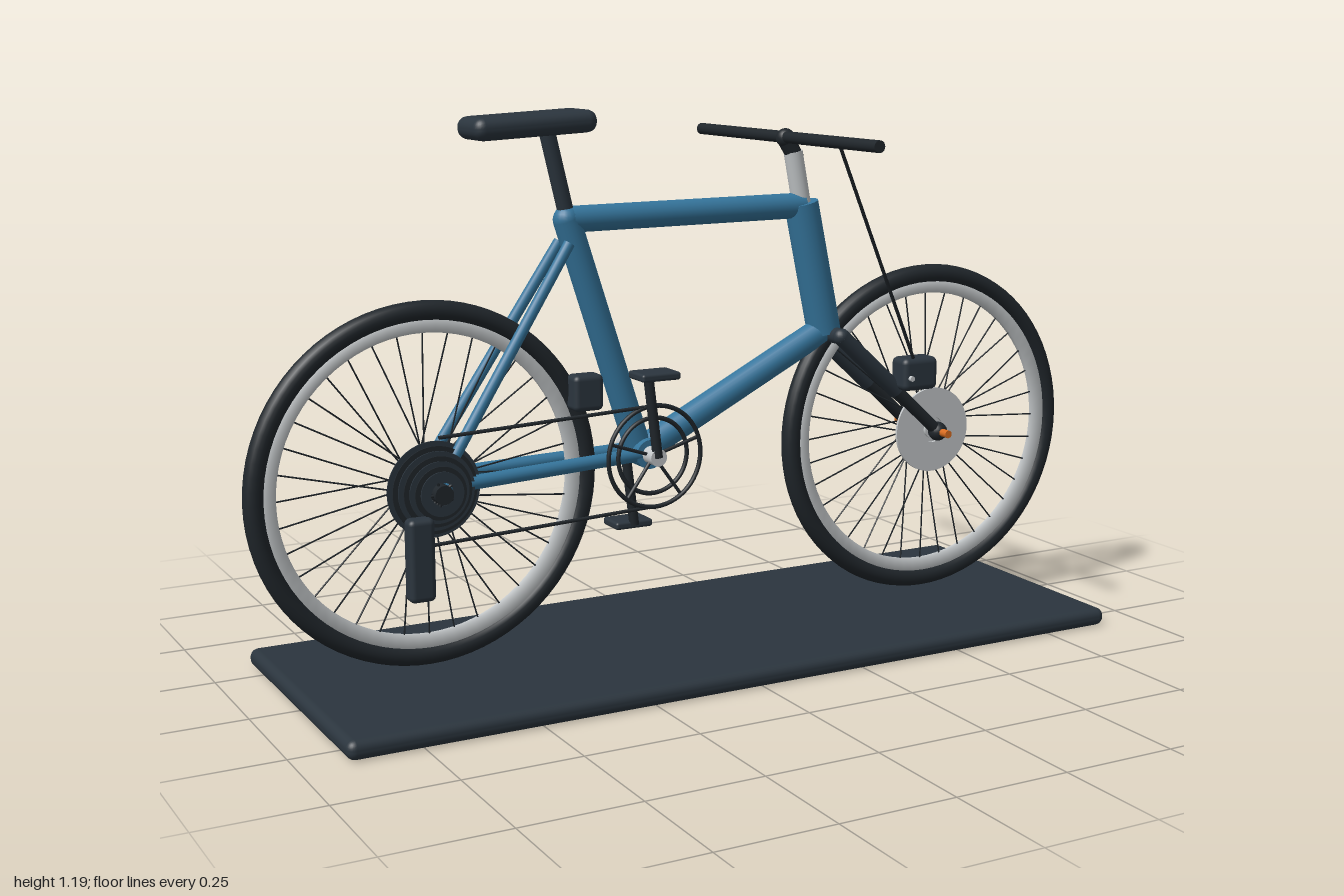
import * as THREE from 'three';
import { RoundedBoxGeometry } from 'three/addons/geometries/RoundedBoxGeometry.js';

const mat = (name, color) => Object.assign(new THREE.MeshStandardMaterial({ color }), { name });
const V = (x, y, z = 0) => new THREE.Vector3(x, y, z);

export function createModel() {
  const blue = mat('frameBlue', 0x35759c);
  const slate = mat('slate', 0x2b353e);
  const black = mat('rubberBlack', 0x20262b);
  const silver = mat('silver', 0xc4c8ca);
  const orange = mat('orange', 0xd86c20);

  const root = new THREE.Group();
  root.name = 'bicycle';

  const add = (name, geo, m, pos = V(0, 0), parent = root) => {
    const mesh = new THREE.Mesh(geo, m);
    mesh.name = name;
    mesh.position.copy(pos);
    parent.add(mesh);
    return mesh;
  };
  // Round bar between two points; r2 is the radius at b
  const bar = (name, a, b, r, m, parent = root, r2 = r, sides = 20) => {
    const d = b.clone().sub(a);
    const mesh = add(name, new THREE.CylinderGeometry(r2, r, d.length(), sides), m,
      a.clone().add(b).multiplyScalar(0.5), parent);
    mesh.quaternion.setFromUnitVectors(V(0, 1), d.normalize());
    return mesh;
  };
  const ball = (name, p, r, m) => add(name, new THREE.SphereGeometry(r, 20, 14), m, p);
  const box = (name, p, w, h, d, r, m) => add(name, new RoundedBoxGeometry(w, h, d, 3, r), m, p);
  // Flat ring or disc facing z
  const disc = (name, p, outer, inner, depth, m) => {
    const s = new THREE.Shape().absarc(0, 0, outer, 0, Math.PI * 2);
    s.holes.push(new THREE.Path().absarc(0, 0, inner, 0, Math.PI * 2, true));
    const g = new THREE.ExtrudeGeometry(s, { depth, bevelEnabled: false, curveSegments: 40 });
    return add(name, g.translate(0, 0, -depth / 2), m, p);
  };

  // Display base
  box('base', V(0, 0.02), 1.81, 0.04, 0.656, 0.018, slate);

  // Wheels: tyre, rim, hub and spokes
  const rear = V(-0.615, 0.435), front = V(0.615, 0.435);
  const wheel = (name, c) => {
    const g = new THREE.Group();
    g.name = name;
    g.position.copy(c);
    root.add(g);
    add('tyre', new THREE.TorusGeometry(0.359, 0.0215, 16, 80), black, V(0, 0), g);
    const profile = [[0.315, -0.006], [0.345, -0.013], [0.345, 0.013], [0.315, 0.006], [0.315, -0.006]]
      .map(p => new THREE.Vector2(...p));
    const rim = add('rim', new THREE.LatheGeometry(profile, 80), silver, V(0, 0), g);
    rim.rotation.x = Math.PI / 2;
    rim.material.side = THREE.DoubleSide;
    bar('hub', V(0, 0, -0.04), V(0, 0, 0.04), 0.02, silver, g);
    for (const z of [-0.03, 0.03]) bar('hubFlange', V(0, 0, z - 0.003), V(0, 0, z + 0.003), 0.034, silver, g);
    for (let i = 0; i < 36; i++) {
      const a = i / 36 * Math.PI * 2;
      const b = a + (i % 4 < 2 ? 0.5 : -0.5);
      bar('spoke', V(0.03 * Math.cos(b), 0.03 * Math.sin(b), i % 2 ? 0.03 : -0.03),
        V(0.318 * Math.cos(a), 0.318 * Math.sin(a)), 0.0018, black, g, 0.0018, 5);
    }
  };
  wheel('rearWheel', rear);
  wheel('frontWheel', front);

  // Main frame tubes
  const bb = V(-0.122, 0.455), seatTop = V(-0.292, 0.962);
  const headTop = V(0.277, 0.972), headLow = V(0.34, 0.68);
  bar('topTube', seatTop, V(0.278, 0.966), 0.028, blue);
  bar('seatTube', V(-0.13, 0.465), seatTop, 0.029, blue);
  ball('seatJoint', seatTop, 0.029, blue);
  bar('downTube', bb, V(0.335, 0.685), 0.03, blue);
  bar('headTube', headLow, headTop, 0.038, blue);
  bar('bottomBracket', bb.clone().setZ(-0.045), bb.clone().setZ(0.045), 0.032, blue);
  for (const s of [-1, 1]) {
    bar('seatStay', V(-0.605, 0.445, s * 0.052), V(-0.298, 0.915, s * 0.025), 0.012, blue);
    bar('chainStay', V(-0.605, 0.438, s * 0.052), V(-0.125, 0.455, s * 0.03), 0.015, blue);
  }
  bar('rearAxle', V(-0.615, 0.435, -0.075), V(-0.615, 0.435, 0.105), 0.02, black);

  // Seat post and saddle
  bar('seatPost', V(-0.287, 0.95), V(-0.333, 1.14), 0.017, slate);
  box('saddle', V(-0.377, 1.16), 0.272, 0.047, 0.12, 0.022, slate).rotation.z = 0.05;

  // Stem and handlebar
  bar('steerer', headTop, V(0.255, 1.085), 0.021, silver);
  bar('stem', V(0.262, 1.07), V(0.235, 1.115), 0.019, black);
  ball('stemClamp', V(0.235, 1.115), 0.021, black);
  bar('handlebar', V(0.232, 1.117, -0.373), V(0.232, 1.117, 0.373), 0.013, black);

  // Fork with crown, legs and orange axle caps
  bar('forkCrown', V(0.35, 0.675, -0.057), V(0.35, 0.675, 0.057), 0.018, slate);
  for (const s of [-1, 1]) {
    const top = V(0.35, 0.675, s * 0.057), mid = V(0.5, 0.54, s * 0.058);
    ball('forkShoulder', top, 0.019, slate);
    bar('forkUpper', top, mid, 0.019, slate);
    bar('forkLower', mid, V(0.615, 0.435, s * 0.06), 0.014, black);
    ball('forkEnd', V(0.615, 0.435, s * 0.06), 0.022, black);
    bar('axleCap', V(0.615, 0.435, s * 0.06), V(0.615, 0.435, s * 0.103), 0.009, orange);
  }

  // Front brake: rotor, caliper housing and cable
  disc('brakeRotor', V(0.615, 0.435, 0.036), 0.098, 0.03, 0.006, silver);
  box('caliper', V(0.535, 0.582, 0.077), 0.092, 0.075, 0.06, 0.014, slate);
  bar('caliperPin', V(0.505, 0.575, 0.095), V(0.505, 0.575, 0.115), 0.006, silver);
  bar('brakeCable', V(0.235, 1.11, 0.22), V(0.515, 0.62, 0.1), 0.004, black, root, 0.004, 8);

  // Rear cassette and derailleur
  for (let i = 0; i < 7; i++) {
    const r = 0.1 - i * 0.009;
    disc('sprocket', V(-0.615, 0.435, 0.045 + i * 0.008), r, r - 0.022, 0.003, i % 2 ? black : slate);
    for (let k = 0; k < 5; k++) {
      const a = k * Math.PI * 0.4 + i * 0.12;
      bar('sprocketArm', V(-0.615, 0.435, 0.045 + i * 0.008),
        V(-0.615 + (r - 0.02) * Math.cos(a), 0.435 + (r - 0.02) * Math.sin(a), 0.045 + i * 0.008),
        0.003, black, root, 0.003, 6);
    }
  }
  box('derailleurCage', V(-0.664, 0.305, 0.088), 0.056, 0.172, 0.04, 0.012, slate);
  box('seatTubeBox', V(-0.268, 0.602, 0.03), 0.068, 0.077, 0.05, 0.012, slate);

  // Chainrings, chain and cranks
  add('outerChainring', new THREE.TorusGeometry(0.11, 0.005, 8, 56), black, V(-0.122, 0.455, 0.066));
  add('innerChainring', new THREE.TorusGeometry(0.082, 0.005, 8, 56), black, V(-0.122, 0.455, 0.056));
  for (let k = 0; k < 5; k++) {
    const a = k * Math.PI * 0.4 + 0.3;
    bar('chainringArm', V(-0.122, 0.455, 0.06),
      V(-0.122 + 0.108 * Math.cos(a), 0.455 + 0.108 * Math.sin(a), 0.064), 0.004, black, root, 0.004, 6);
  }
  bar('chainUpper', V(-0.61, 0.545, 0.066), V(-0.122, 0.565, 0.066), 0.004, black, root, 0.004, 8);
  bar('chainLower', V(-0.65, 0.325, 0.07), V(-0.122, 0.346, 0.066), 0.004, black, root, 0.004, 8);
  bar('crankAxle', bb.clone().setZ(-0.085), bb.clone().setZ(0.085), 0.019, silver);
  for (const s of [-1, 1]) {
    const end = V(-0.122 - s * 0.023, 0.455 + s * 0.185, s * 0.079);
    bar('crankArm', bb.clone().setZ(s * 0.079), end, 0.011, black);
    box('pedal', V(end.x, end.y, s * 0.11), 0.09, 0.017, 0.07, 0.006, slate);
  }

  return root;
}
